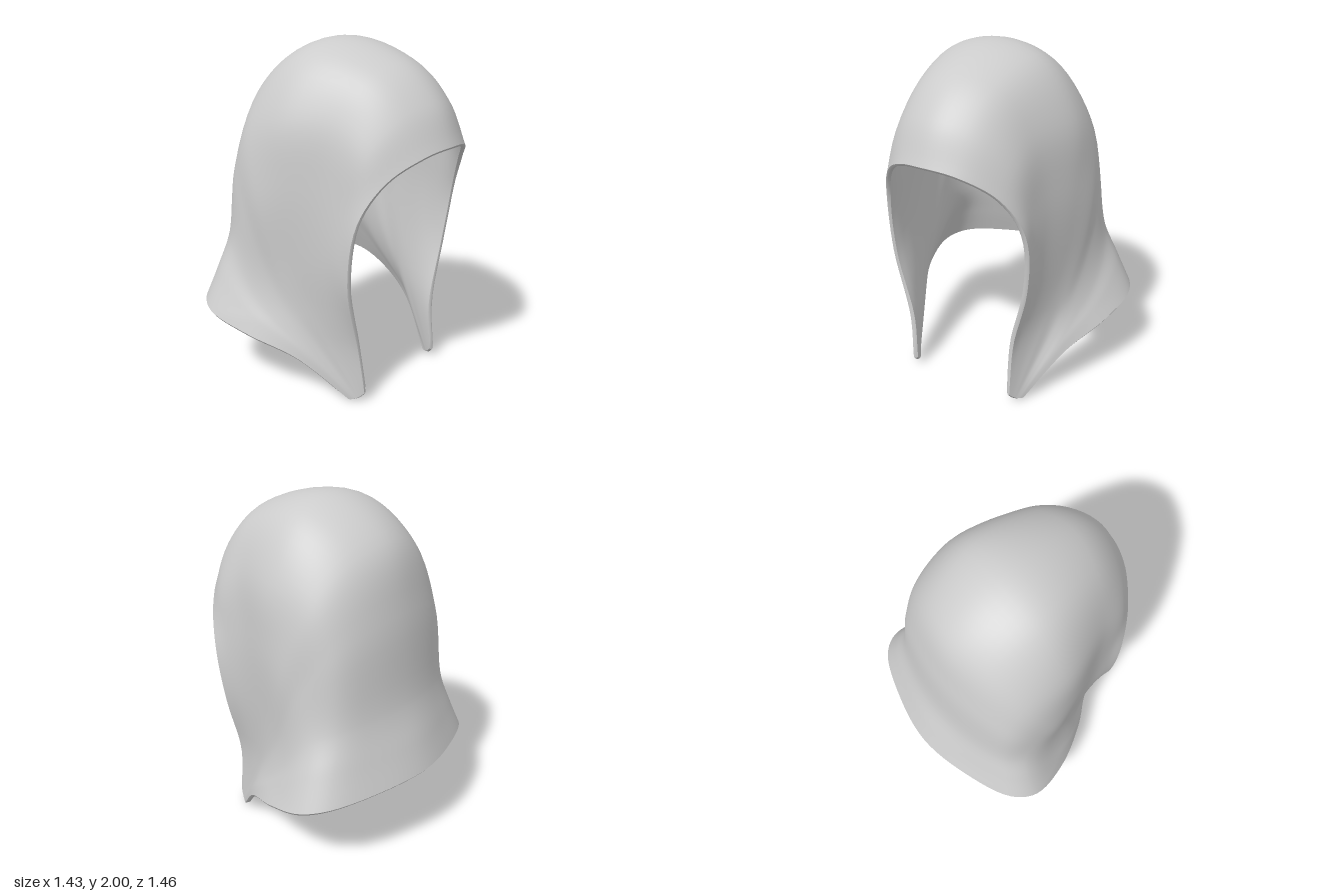
import * as THREE from 'three';

const ACROSS = 72;     // steps along each arch, tip to tip
const DEPTH = 56;      // steps from face opening to back hem
const THICK = 0.027;

// Centre line from brow over the crown to the back hem: [y, z]
const spine = [
  [1.47, 0.73], [1.69, 0.63], [1.885, 0.42], [1.995, -0.03], [1.79, -0.40],
  [1.42, -0.52], [0.92, -0.585], [0.69, -0.665], [0.525, -0.725],
];

// Half arches on the +x side, from near the tip up to near the centre line
const flanks = [
  [[.37, .35, .41], [.465, .75, .415], [.465, 1.1, .465], [.365, 1.32, .57], [.19, 1.44, .685]],
  [[.385, .37, .36], [.465, .8, .35], [.455, 1.18, .38], [.395, 1.45, .47], [.22, 1.645, .57]],
  [[.41, .38, .29], [.47, .82, .25], [.468, 1.25, .25], [.41, 1.58, .30], [.25, 1.815, .37]],
  [[.44, .39, .22], [.505, .80, .08], [.53, 1.25, .03], [.495, 1.60, -.02], [.30, 1.905, -.03]],
  [[.47, .38, .16], [.53, .75, -.02], [.56, 1.18, -.15], [.48, 1.51, -.27], [.275, 1.72, -.355]],
  [[.50, .365, .13], [.545, .68, -.09], [.55, 1.05, -.26], [.46, 1.27, -.405], [.265, 1.38, -.485]],
  [[.525, .33, .12], [.585, .56, -.14], [.56, .81, -.35], [.47, .87, -.47], [.265, .905, -.55]],
  [[.537, .30, .12], [.63, .47, -.15], [.63, .63, -.38], [.545, .67, -.505], [.305, .68, -.61]],
  [[.55, .25, .12], [.675, .37, -.15], [.71, .45, -.40], [.62, .49, -.54], [.33, .515, -.665]],
];

const spline = (pts) => new THREE.CatmullRomCurve3(pts, false, 'centripetal');

// Full mirrored arch through one set of points
function makeArch(k) {
  const t = k / (flanks.length - 1);
  const tip = [0.35 + 0.045 * t, 0.005 + 0.05 * (1 - t) ** 2, 0.435 - 0.08 * t];
  const half = [tip, ...flanks[k]].map((p) => new THREE.Vector3(...p));
  const mirrored = half.map((p) => new THREE.Vector3(-p.x, p.y, p.z)).reverse();
  return spline([...half, new THREE.Vector3(0, ...spine[k]), ...mirrored]);
}

// Loft the arches from front to back
function makeGrid() {
  const arches = flanks.map((_, k) => makeArch(k));
  const grid = Array.from({ length: DEPTH + 1 }, () => []);
  for (let j = 0; j <= ACROSS; j++) {
    const seam = spline(arches.map((a) => a.getPoint(j / ACROSS)));
    for (let i = 0; i <= DEPTH; i++) {
      const p = seam.getPoint(i / DEPTH);
      p.x += 0.04 * p.z * THREE.MathUtils.smoothstep(p.y, 0.6, 1.2); // the head part is turned a little
      p.x += 0.022 * Math.max(0, 1 - p.y / 0.45); // the tips hang slightly to one side
      grid[i].push(p);
    }
  }
  return grid;
}

// Smooth surface over rows of points
function surface(rows, flip = false) {
  const n = rows[0].length;
  const index = [];
  for (let i = 0; i < rows.length - 1; i++) {
    for (let j = 0; j < n - 1; j++) {
      const a = i * n + j, b = a + n, c = b + 1, d = a + 1;
      if (flip) index.push(a, d, b, d, c, b);
      else index.push(a, b, d, d, b, c);
    }
  }
  const g = new THREE.BufferGeometry().setFromPoints(rows.flat());
  g.setIndex(index);
  g.computeVertexNormals();
  return g;
}

export function createModel() {
  const group = new THREE.Group();
  group.name = 'hood';
  const cloth = new THREE.MeshStandardMaterial({ color: 0xcccccc, side: THREE.DoubleSide });
  cloth.name = 'pale grey cloth';
  const add = (name, geometry) => {
    const mesh = new THREE.Mesh(geometry, cloth);
    mesh.name = name;
    group.add(mesh);
  };

  // Outer cloth
  const outer = makeGrid();
  const outerGeometry = surface(outer);
  add('outerCloth', outerGeometry);

  // Lining, set in along the normals
  const normals = outerGeometry.attributes.normal;
  const inner = outer.map((row, i) => row.map((p, j) => {
    const n = new THREE.Vector3().fromBufferAttribute(normals, i * (ACROSS + 1) + j);
    return p.clone().addScaledVector(n, -THICK);
  }));
  add('lining', surface(inner, true));

  // Rounded edge around the face opening, tips and hem
  const loop = [];
  for (let j = 0; j < ACROSS; j++) loop.push([0, j]);
  for (let i = 0; i < DEPTH; i++) loop.push([i, ACROSS]);
  for (let j = ACROSS; j > 0; j--) loop.push([DEPTH, j]);
  for (let i = DEPTH; i >= 0; i--) loop.push([i, 0]);
  const inward = (v, max) => Math.min(Math.max(v, 1), max - 1);
  const outerEdge = [], midEdge = [], innerEdge = [];
  for (const [i, j] of loop) {
    const o = outer[i][j], n = inner[i][j];
    const away = o.clone().sub(outer[inward(i, DEPTH)][inward(j, ACROSS)]).normalize();
    outerEdge.push(o);
    midEdge.push(o.clone().lerp(n, 0.5).addScaledVector(away, 0.008));
    innerEdge.push(n);
  }
  add('edge', surface([outerEdge, midEdge, innerEdge], true));

  // Rest the tips on the ground
  const box = new THREE.Box3().setFromObject(group);
  for (const mesh of group.children) mesh.geometry.translate(0, -box.min.y, 0);
  return group;
}
